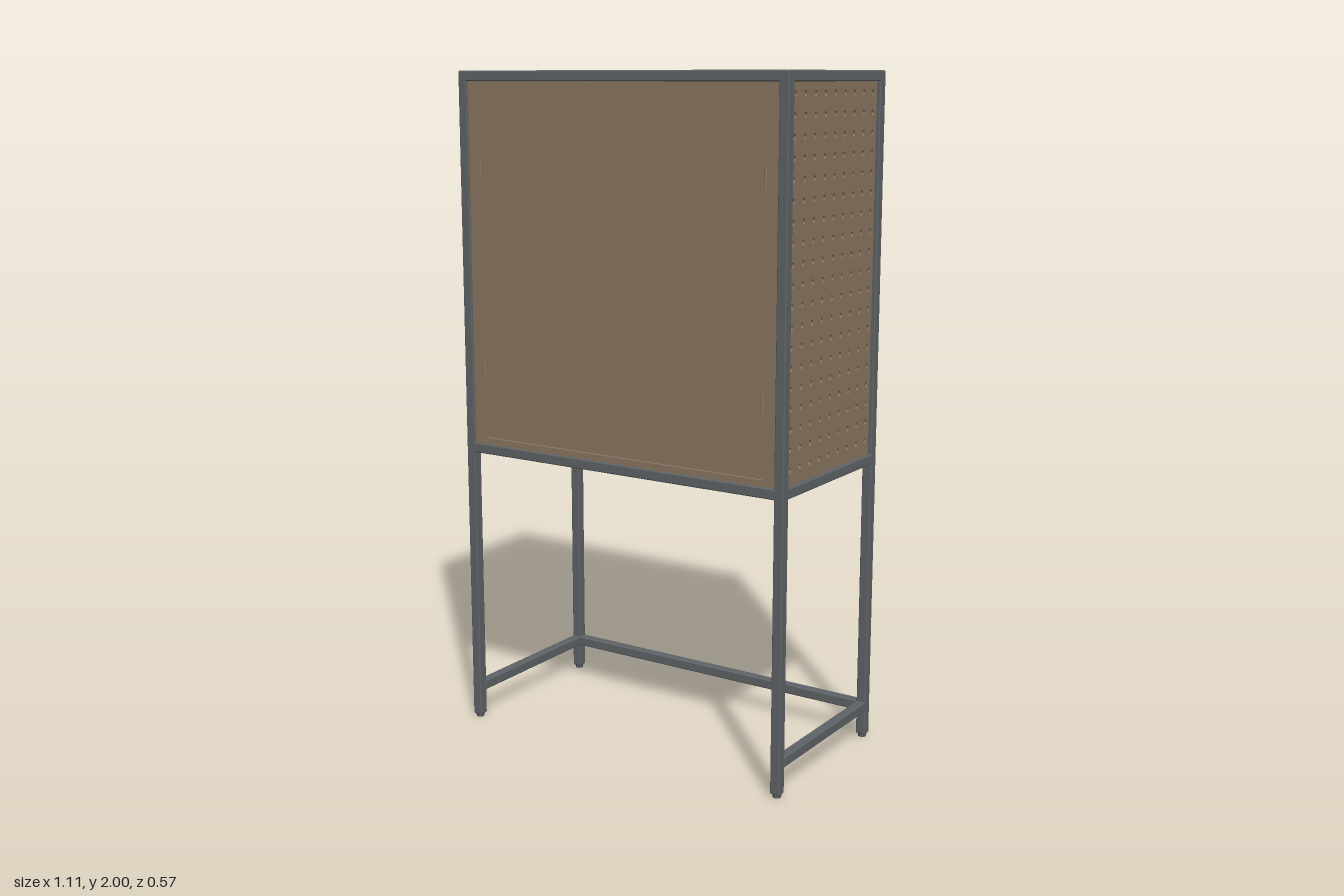
import * as THREE from 'three';
import { RoundedBoxGeometry } from 'three/addons/geometries/RoundedBoxGeometry.js';

export function createModel() {
  const model = new THREE.Group();
  model.name = 'cabinetOnStand';

  const steel = new THREE.MeshStandardMaterial({ color: 0x5e6367 });
  steel.name = 'grey steel';
  const brown = new THREE.MeshStandardMaterial({ color: 0x8a7561 });
  brown.name = 'brown sheet metal';

  const W = 0.555, D = 0.277, T = 0.03; // half width, half depth, tube size
  const px = W - T / 2, pz = D - T / 2; // tube centre lines

  function add(name, geometry, material, x, y, z) {
    const mesh = new THREE.Mesh(geometry, material);
    mesh.name = name;
    mesh.position.set(x, y, z);
    model.add(mesh);
    return mesh;
  }
  // Box given by its lower and upper corners
  function plate(name, [x0, y0, z0], [x1, y1, z1], material = brown) {
    return add(name, new THREE.BoxGeometry(x1 - x0, y1 - y0, z1 - z0), material,
      (x0 + x1) / 2, (y0 + y1) / 2, (z0 + z1) / 2);
  }
  const tube = (w, h, d) => new RoundedBoxGeometry(w, h, d, 2, 0.004);

  // Four corner posts with small feet
  for (const sx of [-1, 1]) {
    for (const sz of [-1, 1]) {
      add('cornerPost', tube(T, 1.99, T), steel, sx * px, 1.005, sz * pz);
      add('foot', new THREE.CylinderGeometry(0.014, 0.012, 0.014, 16), steel, sx * px, 0.007, sz * pz);
    }
  }

  // Rails at the top, under the cabinet and near the floor (open at the front)
  for (const y of [1.985, 0.875, 0.1]) {
    for (const s of [-1, 1]) {
      add('sideRail', tube(T, T, 2 * pz - T + 0.008), steel, s * px, y, 0);
      if (y > 0.5 || s < 0) add('longRail', tube(2 * px - T + 0.008, T, T), steel, 0, y, s * pz);
    }
  }

  // Cabinet shell
  const ix = W - T, iz = D - T, y0 = 0.89, y1 = 1.97;
  plate('topPanel', [-ix, 1.982, -iz], [ix, 1.992, iz]);
  plate('floorPanel', [-ix, 0.88, -iz], [ix, 0.89, iz]);
  plate('backPanel', [-ix, y0, -iz], [ix, y1, -iz + 0.006]);
  plate('backLip', [-ix, y0, -iz - 0.006], [ix, y0 + 0.025, -iz]);
  plate('rightPlainPanel', [-W + 0.012, y0, -iz], [-W + 0.018, y1, iz]);

  // Perforated side panel, drawn in the plane of depth and height
  const shape = new THREE.Shape();
  shape.moveTo(-iz, y0).lineTo(iz, y0).lineTo(iz, y1).lineTo(-iz, y1).closePath();
  for (let c = 0; c < 9; c++) {
    for (let r = 0; r < 19; r++) {
      const hole = new THREE.Path();
      hole.absarc((c - 4) * 0.0558, 0.935 + r * 0.0558, 0.008, 0, Math.PI * 2, true);
      shape.holes.push(hole);
    }
  }
  const perforated = new THREE.ExtrudeGeometry(shape, { depth: 0.006, bevelEnabled: false, curveSegments: 10 });
  add('perforatedPanel', perforated, brown, W - 0.018, 0, 0).rotation.y = Math.PI / 2;

  // Front surround
  const front = 0.27, doorX = 0.482, doorY = 0.912;
  plate('frontSill', [-ix, y0, front - 0.02], [ix, doorY - 0.003, front]);

  for (const s of [-1, 1]) {
    // Mirrored box between two distances from the centre line
    const sidePlate = (name, xa, xb, ya, yb, za, zb, material) =>
      plate(name, [Math.min(s * xa, s * xb), ya, za], [Math.max(s * xa, s * xb), yb, zb], material);
    sidePlate('frontStile', doorX + 0.004, ix, y0, y1, front - 0.02, front);

    // Door leaf with folded edges
    sidePlate('door', 0.002, doorX, doorY, y1 - 0.003, front - 0.006, front);
    sidePlate('doorHingeFold', doorX - 0.004, doorX, doorY, y1 - 0.003, front - 0.025, front - 0.006);
    sidePlate('doorMeetingFold', 0.002, 0.006, doorY, y1 - 0.003, front - 0.025, front - 0.006);

    // Folded pull handle
    sidePlate('handleWeb', 0.007, 0.011, 1.385, 1.515, front, front + 0.022);
    sidePlate('handleLip', 0.007, 0.035, 1.385, 1.515, front + 0.022, front + 0.026);

    // Hinge knuckles
    for (const y of [1.12, 1.72]) {
      add('hinge', new THREE.CylinderGeometry(0.004, 0.004, 0.06, 12), brown, s * (doorX + 0.002), y, front);
    }
  }
  return model;
}
